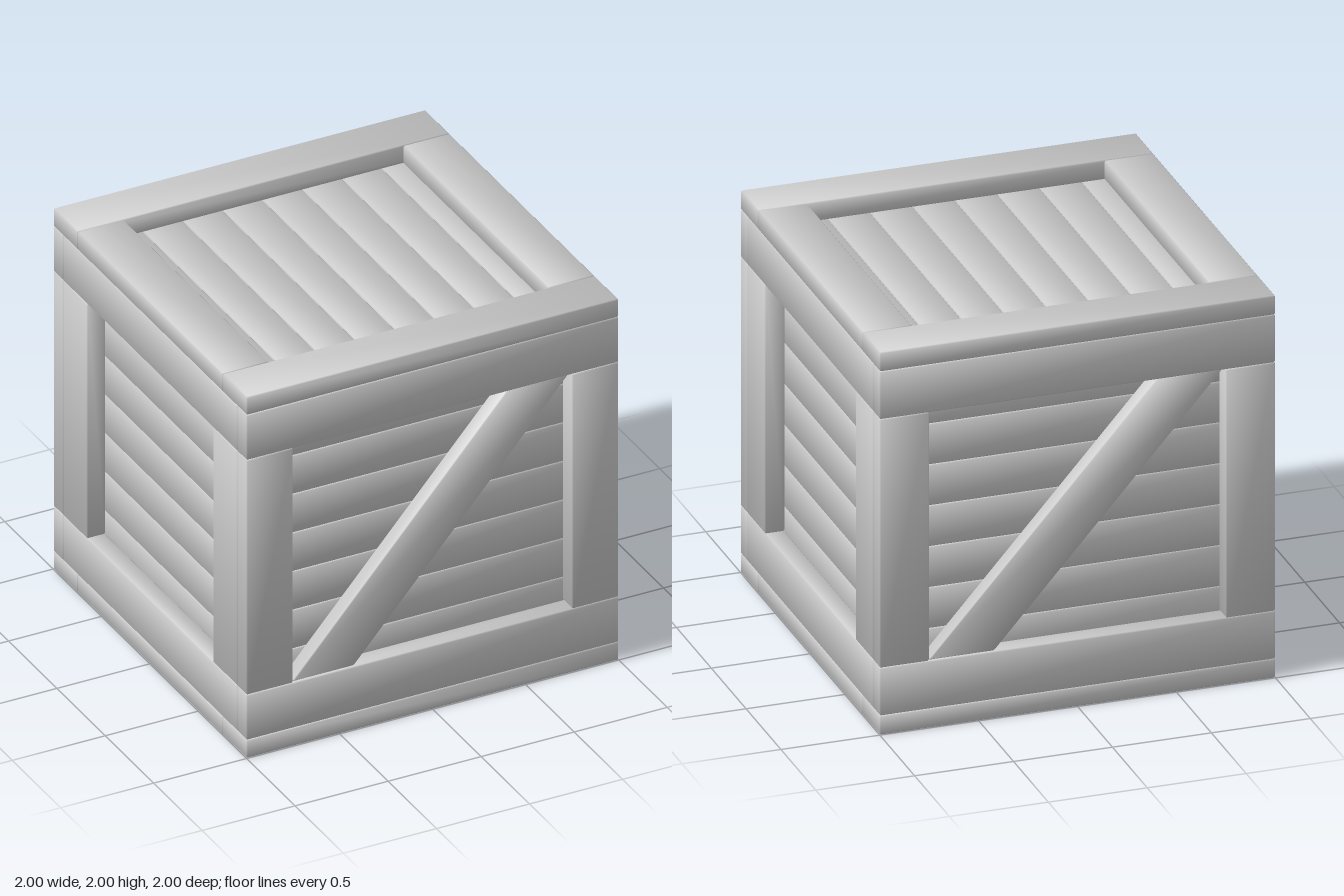
import * as THREE from 'three';
import { ConvexGeometry } from 'three/addons/geometries/ConvexGeometry.js';

const BEVEL = 0.006;
const material = new THREE.MeshStandardMaterial({ color: 0xcccccc });

// Box with small chamfers; normals lean outwards at the corners for a soft look
function boardGeometry(w, h, d) {
  const half = [w / 2, h / 2, d / 2];
  const points = [];
  for (let axis = 0; axis < 3; axis++)
    for (const sx of [-1, 1]) for (const sy of [-1, 1]) for (const sz of [-1, 1]) {
      const c = [sx, sy, sz].map((s, i) => s * (half[i] - (i === axis ? 0 : BEVEL)));
      points.push(new THREE.Vector3(...c));
    }
  const geometry = new ConvexGeometry(points);
  const pos = geometry.attributes.position;
  const normal = geometry.attributes.normal;
  const n = new THREE.Vector3();
  for (let i = 0; i < pos.count; i++) {
    const lean = half.map((size, axis) => {
      const v = pos.getComponent(i, axis);
      return Math.sign(v) * (Math.abs(v) > size - BEVEL / 2 ? 1 : 0.39);
    });
    n.set(...lean).normalize();
    normal.setXYZ(i, n.x, n.y, n.z);
  }
  return geometry;
}

// Board given by its extents along x, y and z
function board(parent, name, [x0, x1], [y0, y1], [z0, z1]) {
  const mesh = new THREE.Mesh(boardGeometry(x1 - x0, y1 - y0, z1 - z0), material);
  mesh.position.set((x0 + x1) / 2, (y0 + y1) / 2, (z0 + z1) / 2);
  mesh.name = name;
  parent.add(mesh);
  return mesh;
}

// Upright wall facing +z: rails, posts and seven horizontal planks
function wall(name, halfWidth, plankHalf) {
  const group = new THREE.Group();
  group.name = name;
  const depth = [0.9, 1];
  board(group, 'lowerRail', [-halfWidth, halfWidth], [0.1, 0.35], depth);
  board(group, 'upperRail', [-halfWidth, halfWidth], [1.65, 1.9], depth);
  board(group, 'post', [-halfWidth, -halfWidth + 0.25], [0.35, 1.65], depth);
  board(group, 'post', [halfWidth - 0.25, halfWidth], [0.35, 1.65], depth);
  const step = 0.214;
  for (let i = 0; i < 7; i++) {
    const y = 0.259 + i * step;
    board(group, 'wallPlank', [-plankHalf, plankHalf], [y, y + step], [0.85, 0.9]);
  }
  return group;
}

// Slanted brace with level ends
function addBrace(group) {
  const brace = board(group, 'diagonalBrace', [-0.17, 0.16], [0.35, 1.65], [0.9, 0.99]);
  brace.geometry.applyMatrix4(new THREE.Matrix4().makeShear(0, 0, 1.155 / 1.3, 0, 0, 0));
}

// Horizontal frame with planks running front to back
function panel(name, frameY, plankY) {
  const group = new THREE.Group();
  group.name = name;
  for (const s of [-1, 1]) {
    const span = s < 0 ? [-1, -0.75] : [0.75, 1];
    board(group, 'longFrameBoard', [-1, 1], frameY, span);
    board(group, 'shortFrameBoard', span, frameY, [-0.75, 0.75]);
  }
  const step = 0.214;
  for (let i = 0; i < 8; i++) {
    const x = (i - 4) * step;
    board(group, 'panelPlank', [x, x + step], plankY, [-0.85, 0.85]);
  }
  return group;
}

export function createModel() {
  const crate = new THREE.Group();
  crate.name = 'woodenCrate';

  // Top and bottom
  crate.add(panel('lid', [1.9, 2], [1.85, 1.9]));
  crate.add(panel('base', [0, 0.1], [0.1, 0.15]));

  // Four walls; front and back carry a brace
  ['frontWall', 'leftWall', 'backWall', 'rightWall'].forEach((name, i) => {
    const braced = i % 2 === 0;
    const side = wall(name, braced ? 1 : 0.9, braced ? 0.9 : 0.85);
    if (braced) addBrace(side);
    side.rotation.y = (i * Math.PI) / 2;
    crate.add(side);
  });
  return crate;
}
